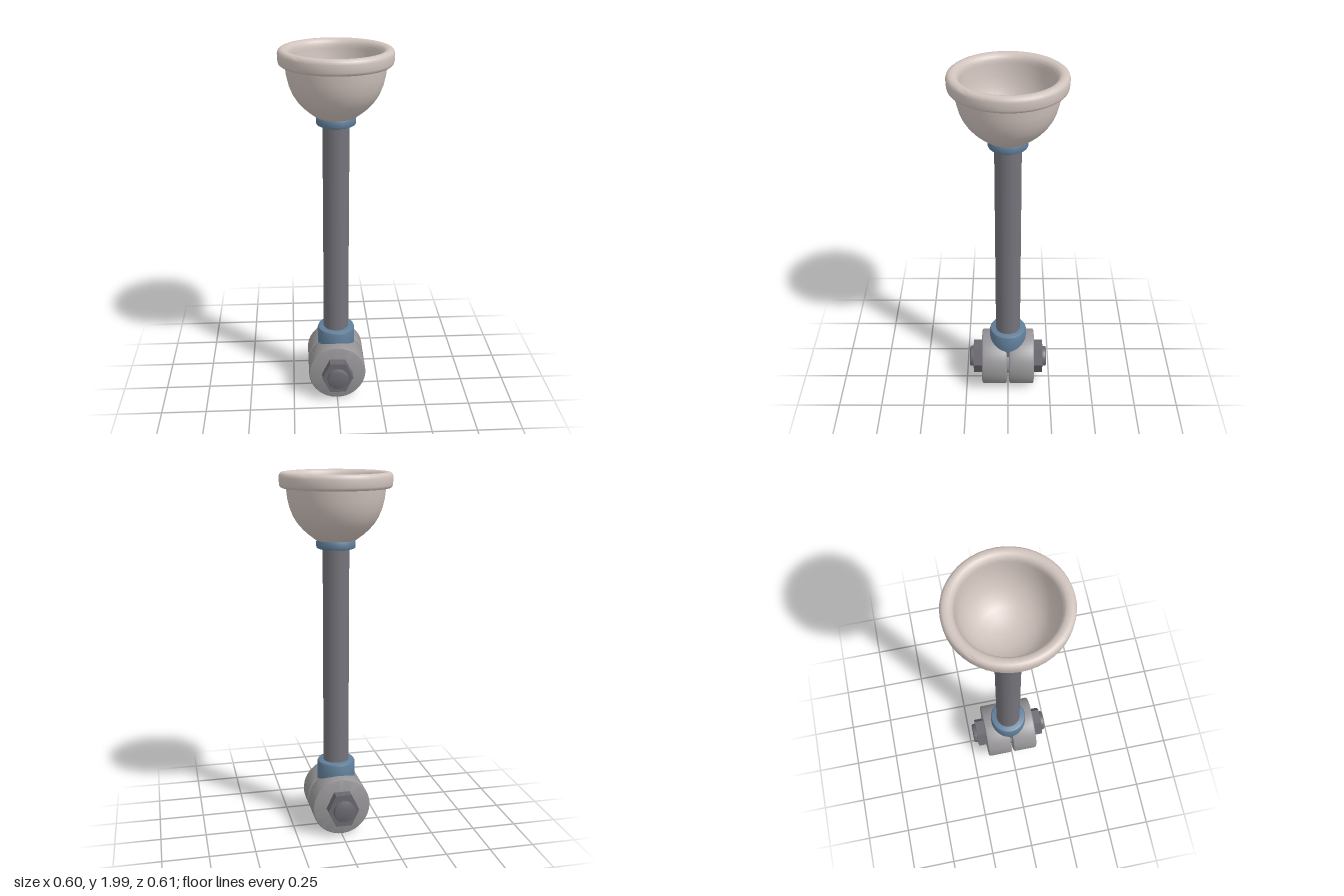
import * as THREE from 'three';
import { toCreasedNormals } from 'three/addons/utils/BufferGeometryUtils.js';

const material = (name, color) => {
  const m = new THREE.MeshStandardMaterial({ color });
  m.name = name;
  return m;
};

// Revolve [radius, height] points around y; sharp corners stay sharp
const turned = (points, segments = 40) =>
  toCreasedNormals(new THREE.LatheGeometry(points.map(([r, y]) => new THREE.Vector2(r, y)), segments), 0.7);

// Solid drum from y0 to y1 with softened rims
const drum = (r, y0, y1, b, segments = 40) => turned([
  [0, y0], [r - b, y0], [r - b * 0.3, y0 + b * 0.3], [r, y0 + b],
  [r, y1 - b], [r - b * 0.3, y1 - b * 0.3], [r - b, y1], [0, y1],
], segments);

export function createModel() {
  const ceramic = material('pale clay', 0xd1c4be);
  const steel = material('rod grey', 0x74737a);
  const blue = material('collar blue', 0x617f9a);
  const grey = material('clamp grey', 0x979597);
  const dark = material('bolt grey', 0x6a6970);

  const model = new THREE.Group();
  const add = (name, geometry, mat, parent = model) => {
    const mesh = new THREE.Mesh(geometry, mat);
    mesh.name = name;
    parent.add(mesh);
    return mesh;
  };

  // Cup: outer bowl, rolled rim and hollow interior
  const cup = new THREE.Group();
  cup.name = 'cup';
  cup.scale.z = 1.02;
  model.add(cup);
  add('bowl', turned([
    [0, 1.63], [0.07, 1.634], [0.11, 1.65], [0.145, 1.676], [0.175, 1.703], [0.203, 1.735],
    [0.225, 1.77], [0.243, 1.815], [0.255, 1.865], [0.262, 1.93],
  ], 48), ceramic, cup);
  add('rim', turned([
    [0.25, 1.92], [0.285, 1.92], [0.293, 1.926], [0.296, 1.936], [0.298, 1.975], [0.294, 1.99],
    [0.284, 1.998], [0.27, 2], [0.255, 1.997], [0.243, 1.987], [0.236, 1.97], [0.235, 1.95],
  ], 48), ceramic, cup);
  add('bowlInterior', turned([
    [0.235, 1.95], [0.23, 1.89], [0.218, 1.835], [0.198, 1.785], [0.17, 1.743],
    [0.13, 1.708], [0.08, 1.686], [0.035, 1.677], [0, 1.675],
  ], 48), ceramic, cup);

  // Rod and its two collars
  add('rod', new THREE.CylinderGeometry(0.071, 0.071, 1.3, 32).translate(0, 0.97, 0), steel);
  add('upperCollar', drum(0.105, 1.602, 1.652, 0.012), blue);
  add('lowerCollar', drum(0.106, 0.25, 0.405, 0.014), blue);

  // Clamp joint: turned about y, then laid along z
  const joint = new THREE.Group();
  joint.name = 'clampJoint';
  joint.position.y = 0.172;
  joint.scale.y = 1.03;
  model.add(joint);

  add('jointHub', new THREE.CylinderGeometry(0.1, 0.1, 0.04, 32).rotateX(Math.PI / 2), grey, joint);
  for (const side of [1, -1]) {
    const half = new THREE.Group();
    half.name = side > 0 ? 'frontClamp' : 'backClamp';
    half.rotation.x = side * Math.PI / 2;
    joint.add(half);
    add('disc', drum(0.162, 0.007, 0.154, 0.01, 48), grey, half);
    // Hexagonal nut with corners to the left and right
    const nut = add('nut', toCreasedNormals(
      new THREE.CylinderGeometry(0.088, 0.088, 0.054, 6).rotateY(Math.PI / 6), 0.5), dark, half);
    nut.position.y = 0.179;
    nut.scale.z = 1.17;
    add('boltEnd', drum(0.059, 0.15, 0.229, 0.008, 24), dark, half);
  }
  return model;
}
